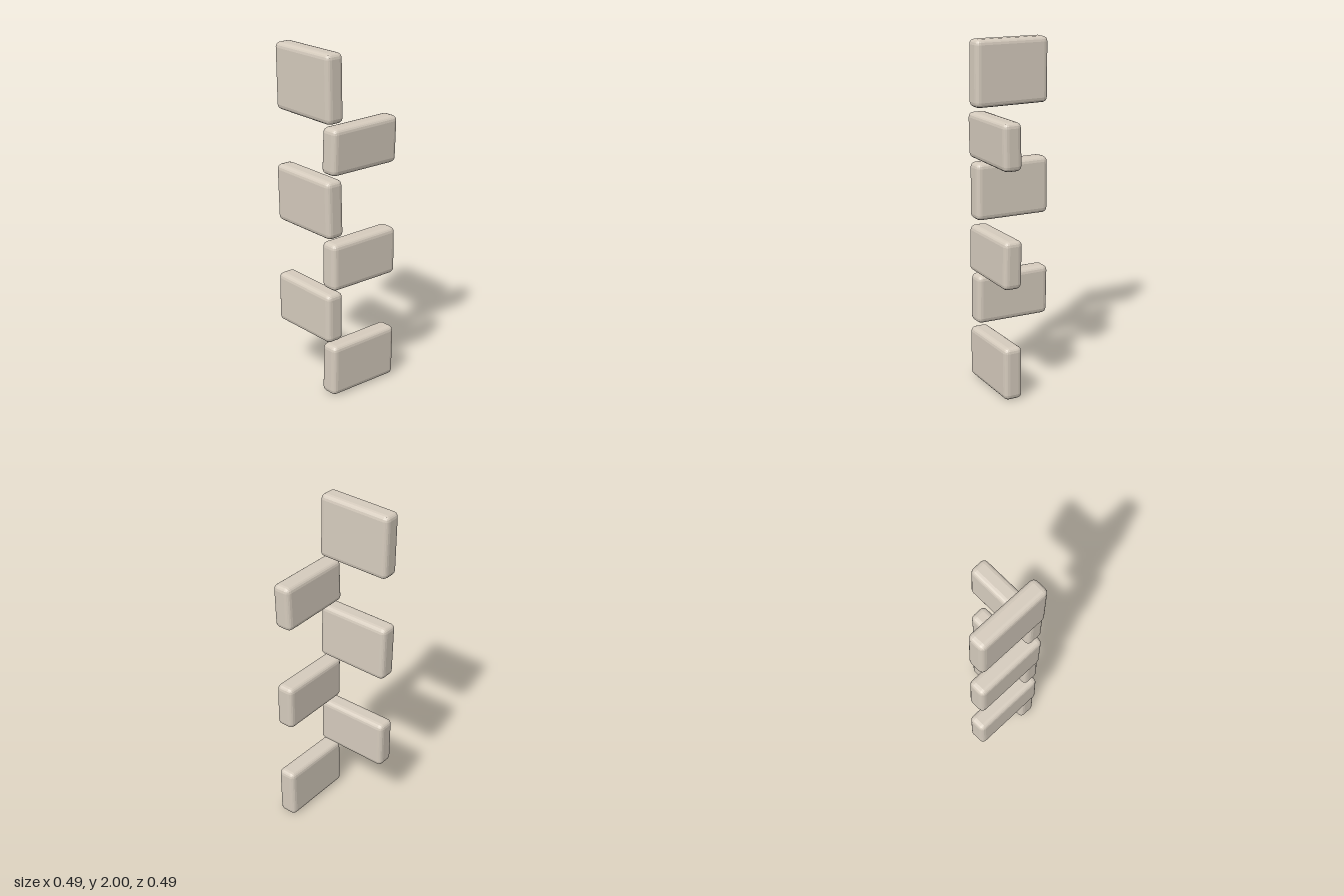
import * as THREE from 'three';
import { RoundedBoxGeometry } from 'three/addons/geometries/RoundedBoxGeometry.js';

const stone = new THREE.MeshStandardMaterial({ color: 0xd5cbbd, flatShading: true });
stone.name = 'pale warm stone';
const underside = new THREE.MeshStandardMaterial({ color: 0x766f67, flatShading: true });
underside.name = 'dark underside stone';

// One material per box side (+x, -x, +y, -y, +z, -z): only the underside is dark
const sides = [stone, stone, stone, underside, stone, stone];

// Bevelled stone slab, long along x; lean shifts the top in z, tilt raises the +x end of the top
function slab(name, yMin, yMax, lean, tilt) {
  const h = yMax - yMin;
  const geo = new RoundedBoxGeometry(0.46, h, 0.112, 2, 0.03);
  const p = geo.attributes.position;
  for (let i = 0; i < p.count; i++) {
    const x = p.getX(i), y = p.getY(i), z = p.getZ(i);
    const u = x / 0.46, v = y / h;
    p.setXYZ(i, x + v * 0.004, y + u * v * 2 * tilt, z + v * lean + u * 0.004);
  }
  geo.computeVertexNormals();
  const mesh = new THREE.Mesh(geo, sides);
  mesh.name = name;
  mesh.position.y = (yMin + yMax) / 2;
  return mesh;
}

export function createModel() {
  const group = new THREE.Group();
  group.name = 'cornerStones';

  // Stones along the front wall
  [[0.003, 0.313, 0.002, 0.004], [0.658, 0.936, -0.005, 0.003], [1.328, 1.596, 0.006, 0.004]]
    .forEach(([a, b, lean, tilt], i) => {
      const s = slab('frontStone' + (i + 1), a, b, lean, tilt);
      s.position.x = 0.01;
      s.position.z = 0.184;
      group.add(s);
    });

  // Stones along the side wall, turned a quarter
  [[0.338, 0.633, 0.002, 0.004], [0.965, 1.3, -0.006, 0.002], [1.618, 1.999, -0.004, -0.002]]
    .forEach(([a, b, lean, tilt], i) => {
      const s = slab('sideStone' + (i + 1), a, b, lean, tilt);
      s.rotation.y = Math.PI / 2;
      s.position.x = -0.187;
      s.position.z = -0.011;
      group.add(s);
    });

  return group;
}
